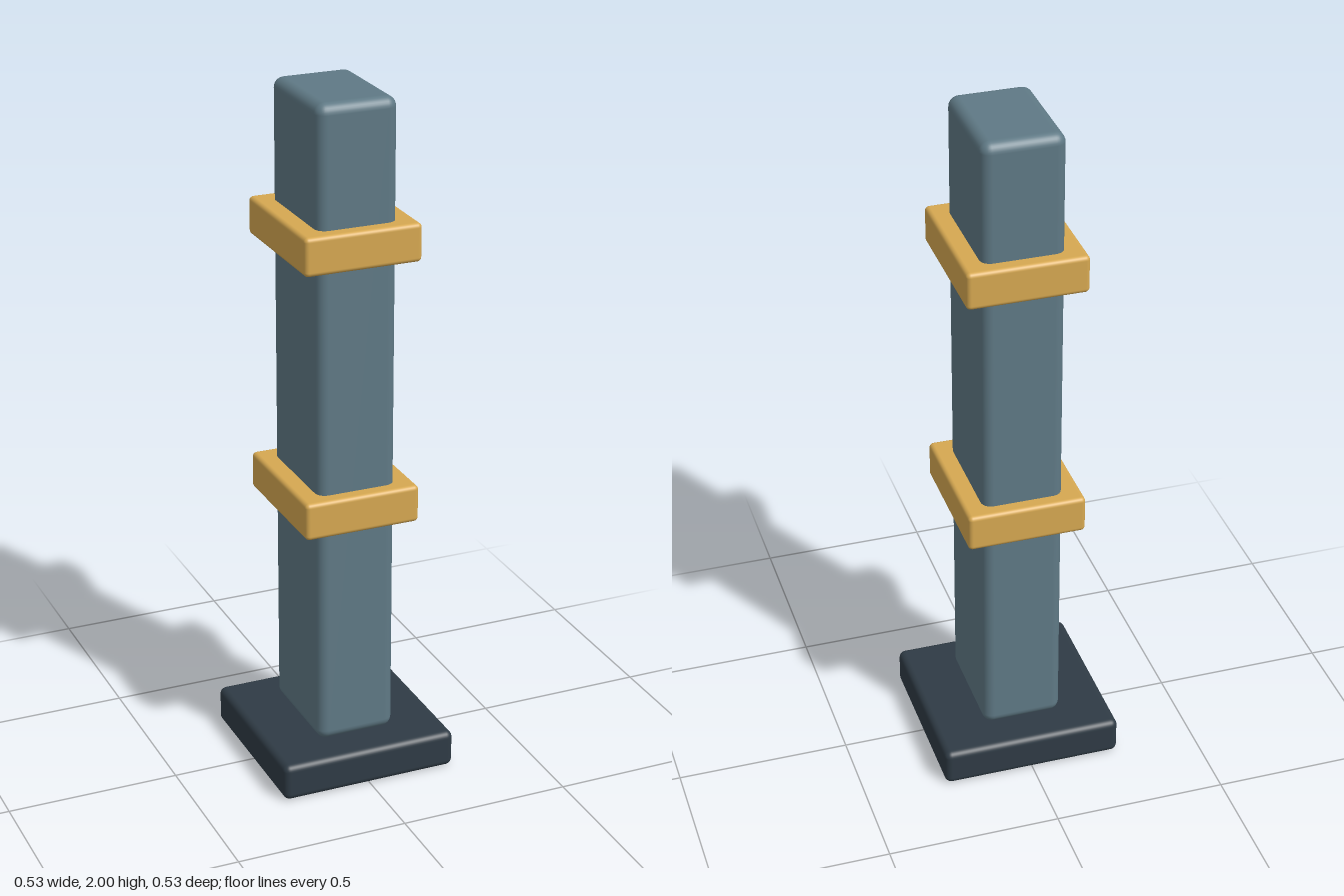
import * as THREE from 'three';
import { RoundedBoxGeometry } from 'three/addons/geometries/RoundedBoxGeometry.js';

export function createModel() {
  const model = new THREE.Group();
  model.name = 'bandedPillar';

  const slate = new THREE.MeshStandardMaterial({ color: 0x5f7985 });
  const gold = new THREE.MeshStandardMaterial({ color: 0xd6a851 });
  const dark = new THREE.MeshStandardMaterial({ color: 0x2f3b45 });

  // Rounded block standing on height y
  function addBlock(name, width, height, depth, radius, y, material) {
    const mesh = new THREE.Mesh(new RoundedBoxGeometry(width, height, depth, 4, radius), material);
    mesh.name = name;
    mesh.position.y = y + height / 2;
    model.add(mesh);
  }

  // Foot plate and tall column
  addBlock('base', 0.528, 0.11, 0.528, 0.02, 0, dark);
  addBlock('column', 0.234, 1.89, 0.33, 0.03, 0.11, slate);

  // Two bands around the column
  addBlock('lowerBand', 0.342, 0.11, 0.41, 0.013, 0.775, gold);
  addBlock('upperBand', 0.342, 0.11, 0.41, 0.013, 1.545, gold);

  return model;
}
